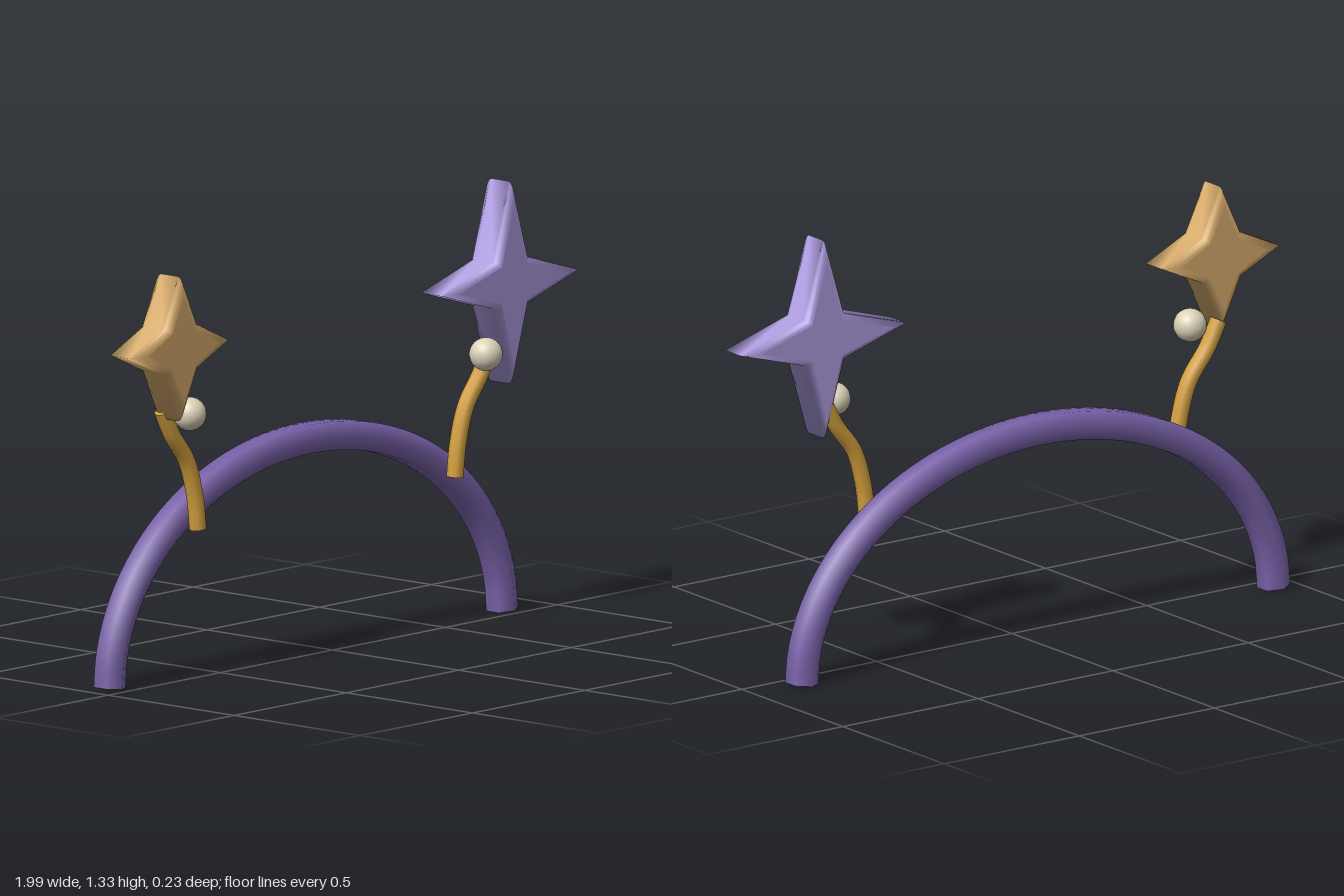
import * as THREE from 'three';

const mat = (name, color) => Object.assign(new THREE.MeshStandardMaterial({ color }), { name });
const MID = -0.047; // symmetry axis of the band

// Tube along a curve with flat caps on both ends
function cappedTube(name, points, radius, sides, segments, material) {
  const group = new THREE.Group();
  group.name = name;
  const curve = new THREE.CatmullRomCurve3(points);
  group.add(new THREE.Mesh(new THREE.TubeGeometry(curve, segments, radius, sides), material));
  for (const t of [0, 1]) {
    const cap = new THREE.Mesh(new THREE.CircleGeometry(radius, sides), material);
    const out = curve.getTangentAt(t).multiplyScalar(t ? 1 : -1);
    cap.position.copy(curve.getPointAt(t));
    cap.lookAt(cap.position.clone().add(out));
    group.add(cap);
  }
  group.children.forEach((m) => { m.name = name; });
  return group;
}

// Four-pointed star: smooth rounded wall from stacked outlines, plus two flat faces
function star(name, tip, notch, material) {
  const group = new THREE.Group();
  group.name = name;
  const half = 0.058, round = 0.024, steps = 4;
  const outline = (inset) => Array.from({ length: 8 }, (_, i) => {
    const r = i % 2 ? notch - 0.021 * inset : tip - 0.06 * inset;
    const a = (i * Math.PI) / 4;
    return new THREE.Vector2(r * Math.cos(a), r * Math.sin(a));
  });

  const rings = [];
  for (const side of [-1, 1]) {
    for (let k = 0; k <= steps; k++) {
      const a = ((side < 0 ? steps - k : k) / steps) * Math.PI / 2;
      rings.push([side * (half - round + round * Math.sin(a)), 1 - Math.cos(a)]);
    }
  }
  const pos = [], index = [];
  rings.forEach(([z, inset], j) => outline(inset).forEach((p, i) => {
    pos.push(p.x, p.y, z);
    if (j === 0) return;
    const n = (i + 1) % 8, a = (j - 1) * 8 + i, b = (j - 1) * 8 + n, c = j * 8 + n, d = j * 8 + i;
    index.push(a, b, c, a, c, d);
  }));
  const wall = new THREE.BufferGeometry();
  wall.setAttribute('position', new THREE.Float32BufferAttribute(pos, 3));
  wall.setIndex(index);
  wall.computeVertexNormals();
  group.add(new THREE.Mesh(wall, material));

  const faceGeometry = new THREE.ShapeGeometry(new THREE.Shape(outline(1)));
  for (const side of [-1, 1]) {
    const face = new THREE.Mesh(faceGeometry, material);
    face.position.z = side * half;
    if (side < 0) face.rotation.y = Math.PI;
    group.add(face);
  }
  group.children.forEach((m) => { m.name = name; });
  return group;
}

export function createModel() {
  const purple = mat('purple band', 0x7a63ab);
  const lavender = mat('lavender', 0xab9adc);
  const tan = mat('warm tan', 0xd6ab6c);
  const gold = mat('gold', 0xd4a03e);
  const cream = mat('cream pearl', 0xdcd2b8);

  const model = new THREE.Group();
  model.name = 'starHeadband';

  // Half-ellipse band, hexagonal section
  const arc = Array.from({ length: 25 }, (_, i) => {
    const a = Math.PI * (1 - i / 24);
    return new THREE.Vector3(MID + 0.873 * Math.cos(a), 0.005 + 0.633 * Math.sin(a), -0.065);
  });
  model.add(cappedTube('band', arc, 0.05, 6, 64, purple));

  // Curved stalks and pearls, mirrored about the band's middle
  const stalkPath = [[0.572, 0.452], [0.585, 0.55], [0.62, 0.66], [0.688, 0.752], [0.73, 0.83]];
  for (const [side, label] of [[-1, 'right'], [1, 'left']]) {
    const path = stalkPath.map(([x, y]) => new THREE.Vector3(MID + side * x, y, 0.0165));
    model.add(cappedTube(label + 'Stalk', path, 0.0255, 8, 24, gold));

    const pearl = new THREE.Mesh(new THREE.SphereGeometry(0.05, 24, 16), cream);
    pearl.name = label + 'Pearl';
    pearl.position.set(MID + side * 0.659, 0.816, 0.062);
    model.add(pearl);
  }

  // Small tan star and large lavender star
  const smallStar = star('rightStar', 0.218, 0.097, tan);
  smallStar.position.set(-0.78, 1.024, 0.048);
  const largeStar = star('leftStar', 0.305, 0.1, lavender);
  largeStar.position.set(0.69, 1.024, 0.048);
  model.add(smallStar, largeStar);

  return model;
}
